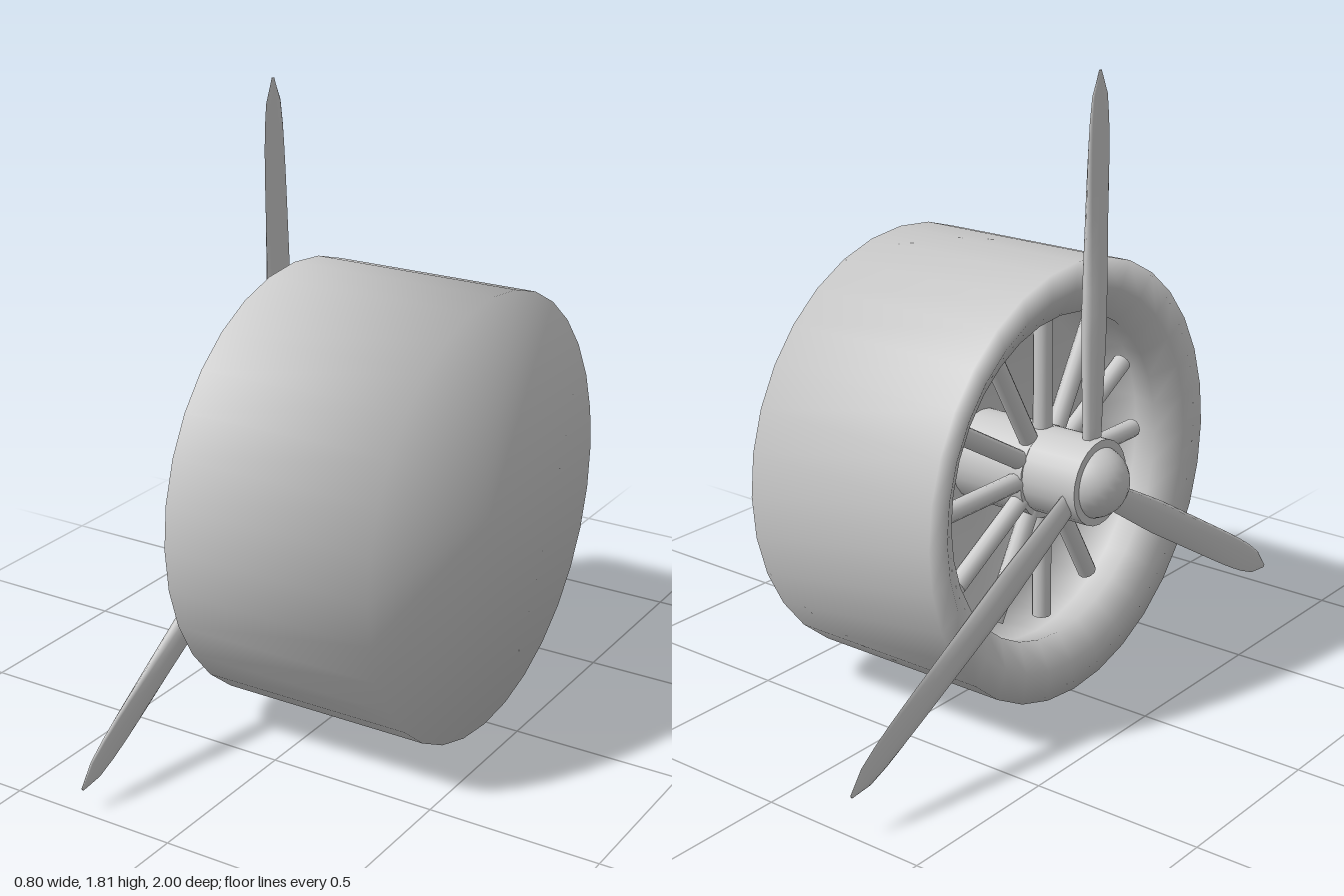
import * as THREE from 'three';

const material = new THREE.MeshStandardMaterial({ color: 0xcccccc, side: THREE.DoubleSide });

function addMesh(parent, geometry, name) {
  const mesh = new THREE.Mesh(geometry, material);
  mesh.name = name;
  parent.add(mesh);
  return mesh;
}

// Revolve [radius, forward] pairs around the engine axis; forward points to -x
function revolve(profile, segments) {
  const points = profile.map(([r, f]) => new THREE.Vector2(r, f));
  return new THREE.LatheGeometry(points, segments).rotateZ(Math.PI / 2);
}

// Tapered blade along +y: thin in x, chord in z, sharp trailing edge at +z
function bladeGeometry() {
  const root = 0.09, length = 1.06;
  const geometry = new THREE.CylinderGeometry(1, 1, 1, 10, 16);
  const p = geometry.attributes.position;
  for (let i = 0; i < p.count; i++) {
    const t = p.getY(i) + 0.5;
    const rounding = Math.sqrt(Math.max(0, 1 - Math.pow(Math.max(0, (t - 0.6) / 0.4), 4)));
    const chord = (0.036 + 0.014 * Math.min(1, t / 0.3)) * Math.max(rounding, 0.1);
    const thick = t < 0.4 ? 0.018 + 0.015 * t : 0.024 - 0.036 * (t - 0.4);
    const z = p.getZ(i);
    p.setXYZ(i, p.getX(i) * thick * (1 - 0.35 * z), root + t * length, z * chord + 0.015);
  }
  geometry.computeVertexNormals();
  return geometry;
}

export function createModel() {
  const model = new THREE.Group();
  model.name = 'radialEngine';

  // Closed drum cowling with an open, inward-rolled front lip
  const cowling = addMesh(model, revolve([
    [0, -0.4], [0.645, -0.4], [0.645, 0.24], [0.56, 0.232],
    [0.48, 0.18], [0.5, 0.1], [0.5, -0.1], [0, -0.1],
  ], 32), 'cowling');
  cowling.position.set(0, 0.645, 0.012);

  const engine = new THREE.Group();
  engine.name = 'engine';
  engine.position.set(0, 0.655, 0.012);
  model.add(engine);

  // Crankcase behind the hub
  addMesh(engine, new THREE.CylinderGeometry(0.135, 0.135, 0.25, 24).rotateZ(Math.PI / 2), 'crankcase')
    .position.x = -0.02;

  // Ring of radial cylinders
  const count = 12;
  for (let i = 0; i < count; i++) {
    const rod = new THREE.CylinderGeometry(0.028, 0.028, 0.35, 12);
    rod.translate(0, 0.275, 0).rotateX((i / count) * Math.PI * 2);
    addMesh(engine, rod, 'engineCylinder').position.x = -0.12;
  }

  const propeller = new THREE.Group();
  propeller.name = 'propeller';
  propeller.position.set(-0.285, 0.665, 0.01);
  model.add(propeller);

  // Hub drum and domed spinner
  addMesh(propeller, new THREE.CylinderGeometry(0.125, 0.125, 0.185, 24).rotateZ(Math.PI / 2), 'hub')
    .position.x = 0.0525;
  addMesh(propeller, new THREE.SphereGeometry(0.105, 24, 16), 'spinner').position.x = -0.014;

  // Three blades
  const blade = bladeGeometry();
  for (let i = 0; i < 3; i++) {
    addMesh(propeller, blade, 'blade').rotation.x = 0.012 + (i * Math.PI * 2) / 3;
  }
  return model;
}
